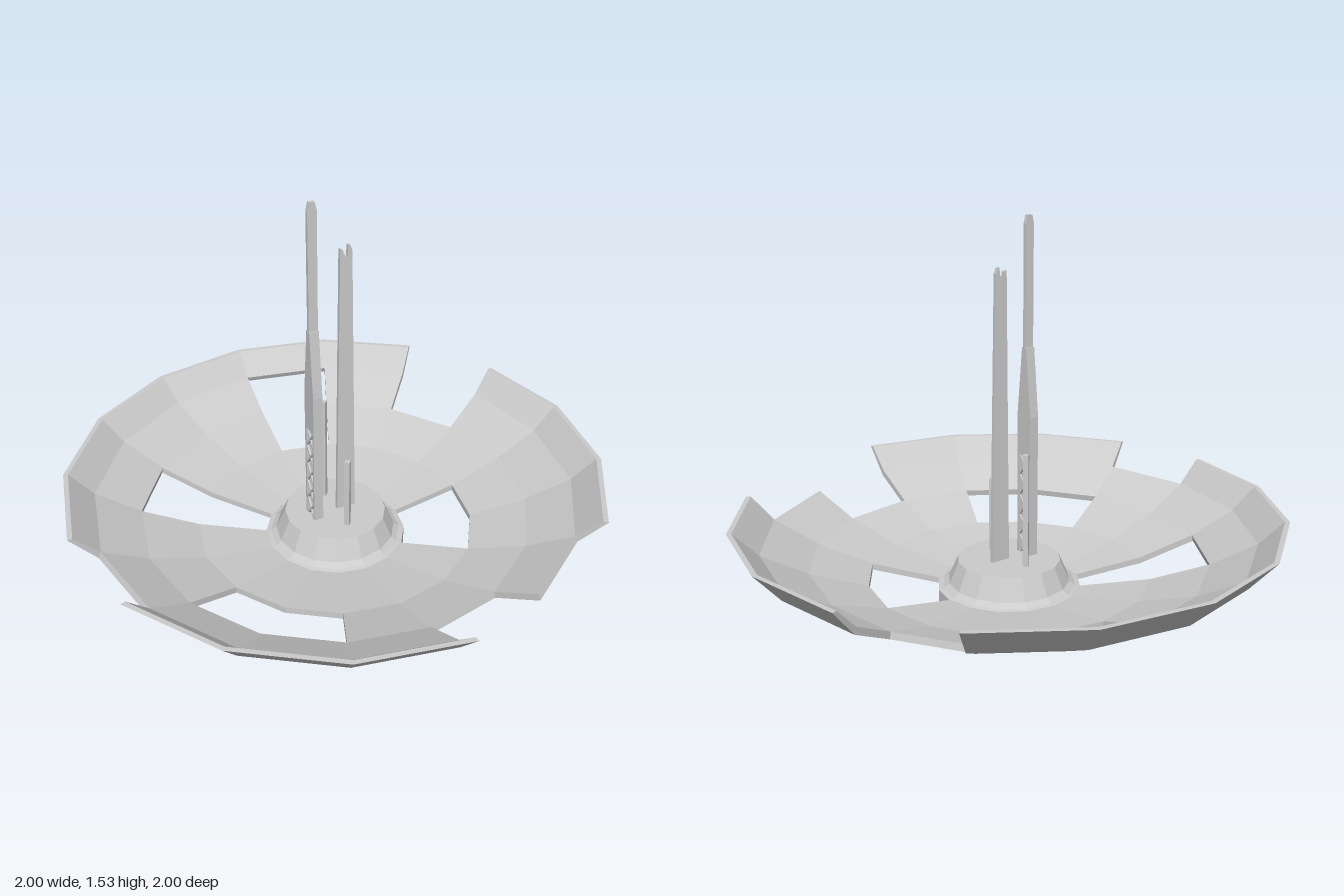
import * as THREE from 'three';

const SIDES = 16;
const material = new THREE.MeshStandardMaterial({ color: 0xcccccc, flatShading: true });

function add(parent, name, geometry, x = 0, y = 0, z = 0) {
  const mesh = new THREE.Mesh(geometry, material);
  mesh.name = name;
  mesh.position.set(x, y, z);
  parent.add(mesh);
  return mesh;
}

// Flat plate from an outline, centred on its thickness
function plate(outline, depth) {
  const shape = new THREE.Shape(outline.map(([x, y]) => new THREE.Vector2(x, y)));
  return new THREE.ExtrudeGeometry(shape, { depth, bevelEnabled: false }).translate(0, 0, -depth / 2);
}

// Faceted dish with thickness, made of sector/band panels, some of them missing
function dishGeometry() {
  const under = [[0.26, 0.17], [0.52, 0.21], [0.735, 0.28], [0.905, 0.37], [1, 0.48]];
  const upper = [[0.26, 0.192], [0.52, 0.234], [0.73, 0.304], [0.895, 0.392], [0.982, 0.48]];
  const missing = {
    0: [0], 1: [0], 2: [3], 3: [2, 3], 5: [1], 6: [1],
    7: [3], 9: [0, 1], 12: [1, 2], 14: [2, 3],
  };
  const present = (s, b) => {
    if (b < 0 || b > 3) return false;
    const gaps = missing[(s + SIDES) % SIDES];
    return !(gaps && gaps.includes(b));
  };
  const point = (profile, ring, s) => {
    const a = (s / SIDES) * Math.PI * 2;
    const [r, y] = profile[ring];
    return [r * Math.cos(a), y, r * Math.sin(a)];
  };
  const positions = [];
  const quad = (a, b, c, d) => positions.push(...a, ...b, ...c, ...a, ...c, ...d);

  for (let s = 0; s < SIDES; s++) {
    for (let b = 0; b < 4; b++) {
      if (!present(s, b)) continue;
      const corners = [[b, s], [b + 1, s], [b + 1, s + 1], [b, s + 1]];
      const low = corners.map(([ring, k]) => point(under, ring, k));
      const top = corners.map(([ring, k]) => point(upper, ring, k));
      quad(low[0], low[1], low[2], low[3]);
      quad(top[0], top[3], top[2], top[1]);
      // Edge walls wherever the neighbouring panel is gone
      const neighbours = [[s - 1, b], [s, b + 1], [s + 1, b], [s, b - 1]];
      neighbours.forEach(([ns, nb], i) => {
        if (present(ns, nb)) return;
        const j = (i + 1) % 4;
        quad(low[j], low[i], top[i], top[j]);
      });
    }
  }
  const geometry = new THREE.BufferGeometry();
  geometry.setAttribute('position', new THREE.Float32BufferAttribute(positions, 3));
  geometry.computeVertexNormals();
  return geometry;
}

// Tall mast: open truss, tapered body, needle
function buildLatticeMast() {
  const mast = new THREE.Group();
  mast.name = 'latticeMast';
  mast.position.x = -0.085;
  const bottom = 0.28, top = 0.67, cells = 5;
  const cell = (top - bottom) / cells;

  for (const side of [-1, 1]) {
    add(mast, 'trussPost', new THREE.BoxGeometry(0.036, top - bottom, 0.01), 0, (top + bottom) / 2, side * 0.032);
    for (let i = 0; i < cells; i++) {
      for (const tilt of [-1, 1]) {
        const strut = add(mast, 'trussBrace', new THREE.BoxGeometry(0.007, Math.hypot(0.06, cell), 0.007),
          side * 0.013, bottom + cell * (i + 0.5), 0);
        strut.rotation.x = tilt * Math.atan2(0.06, cell);
      }
    }
  }
  const body = [[-0.037, top], [0.037, top], [0.037, 0.82], [0.012, 1.07], [-0.012, 1.07], [-0.037, 0.82]];
  add(mast, 'mastBody', plate(body, 0.036).rotateY(Math.PI / 2));
  const needle = [[-0.017, 1.06], [0.017, 1.06], [0.017, 1.5], [0.01, 1.53], [-0.01, 1.53], [-0.017, 1.5]];
  add(mast, 'mastNeedle', plate(needle, 0.014));
  return mast;
}

export function createModel() {
  const model = new THREE.Group();
  model.name = 'brokenDish';

  add(model, 'dish', dishGeometry());

  // Base drum below the dish and raised hub inside it
  const hubProfile = [[0, 0], [0.187, 0], [0.265, 0.09], [0.265, 0.19], [0.245, 0.195],
    [0.225, 0.21], [0.19, 0.29], [0, 0.29]].map(([r, y]) => new THREE.Vector2(r, y));
  add(model, 'baseAndHub', new THREE.LatheGeometry(hubProfile, SIDES));

  model.add(buildLatticeMast());

  // Flat mast with a snapped tip
  const blade = [[0.005, 0.28], [0.08, 0.28], [0.06, 1.34], [0.052, 1.36], [0.045, 1.36], [0.043, 1.32],
    [0.036, 1.3], [0.032, 1.33], [0.028, 1.32], [0.026, 1.345], [0.015, 1.35]];
  add(model, 'brokenMast', plate(blade, 0.014));

  // Two short square rods
  for (const [z, top] of [[0.105, 0.57], [-0.1, 0.71]]) {
    add(model, 'rod', new THREE.CylinderGeometry(0.014, 0.014, top - 0.28, 4), 0, (top + 0.28) / 2, z);
  }
  return model;
}
